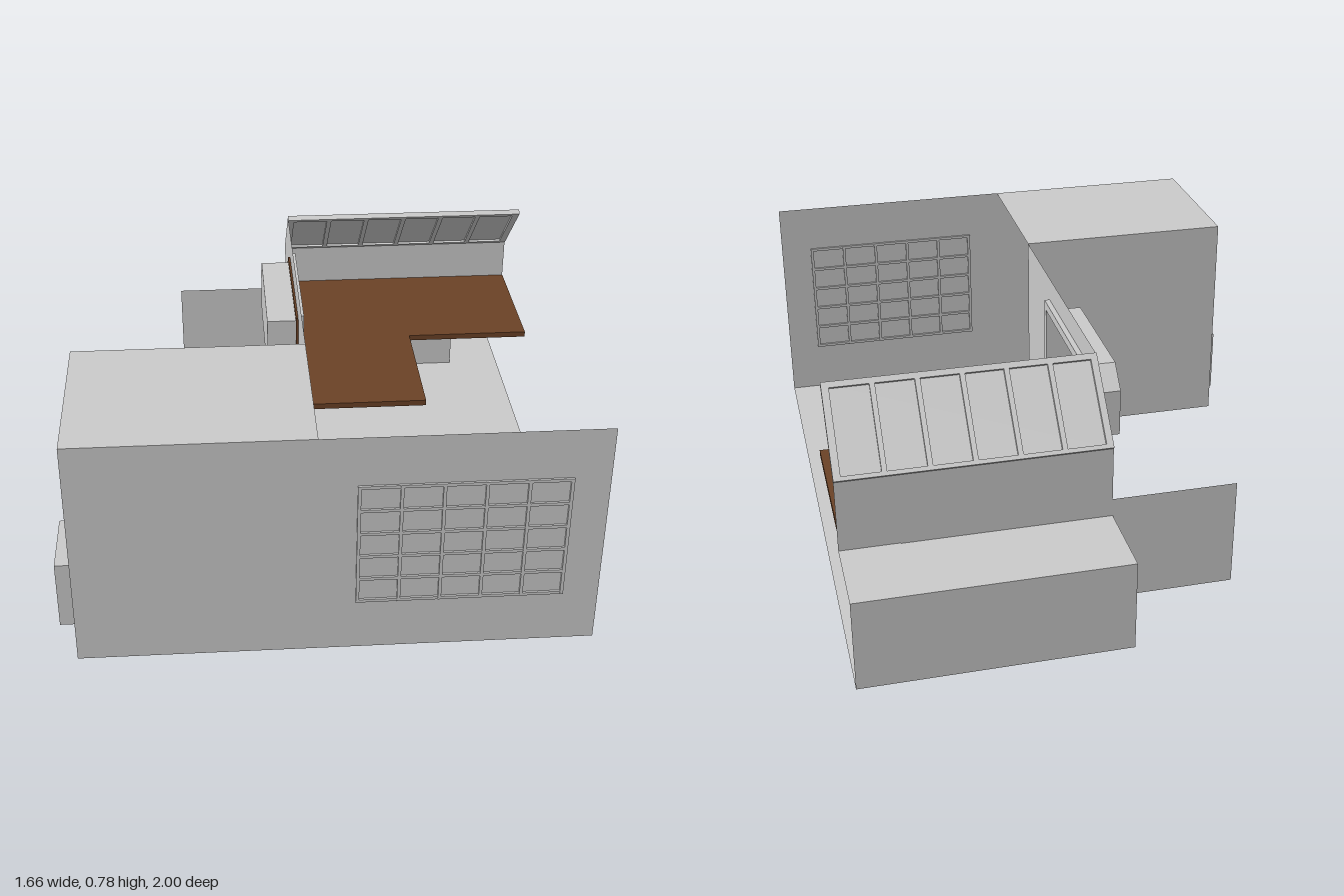
import * as THREE from 'three';

const grey = new THREE.MeshStandardMaterial({ color: 0xcccccc, side: THREE.DoubleSide, flatShading: true });
const wood = new THREE.MeshStandardMaterial({ color: 0x6b4226, side: THREE.DoubleSide, flatShading: true });

const toPath = (pts, P = THREE.Path) => new P(pts.map(([a, b]) => new THREE.Vector2(a, b)));
const rect = (a0, a1, b0, b1) => [[a0, b0], [a1, b0], [a1, b1], [a0, b1]];

export function createModel() {
  const model = new THREE.Group();

  // A flat sheet (depth 0) or slab, drawn in the plane facing the given axis:
  // 'x' uses (z, y) and grows to -x, 'y' uses (x, z) and grows down, 'z' uses (x, y) and grows to +z.
  function sheet(name, axis, at, pts, { holes = [], depth = 0, material = grey, parent = model } = {}) {
    const shape = toPath(pts, THREE.Shape);
    holes.forEach((h) => shape.holes.push(toPath(h)));
    const geo = depth
      ? new THREE.ExtrudeGeometry(shape, { depth, bevelEnabled: false })
      : new THREE.ShapeGeometry(shape);
    if (axis === 'x') geo.rotateY(-Math.PI / 2);
    if (axis === 'y') geo.rotateX(Math.PI / 2);
    const mesh = new THREE.Mesh(geo, material);
    mesh.name = name;
    mesh.position[axis] = at;
    parent.add(mesh);
    return mesh;
  }

  function box(name, x0, x1, y0, y1, z0, z1, parent = model) {
    const mesh = new THREE.Mesh(new THREE.BoxGeometry(x1 - x0, y1 - y0, z1 - z0), grey);
    mesh.position.set((x0 + x1) / 2, (y0 + y1) / 2, (z0 + z1) / 2);
    mesh.name = name;
    parent.add(mesh);
  }

  // A niche behind an opening in an x-facing wall: side strip plus closed back
  function niche(name, pts, xOpen, xBack) {
    const group = new THREE.Group();
    group.name = name;
    const pos = [];
    pts.forEach(([z, y], i) => {
      const [z2, y2] = pts[(i + 1) % pts.length];
      pos.push(xOpen, y, z, xBack, y, z, xBack, y2, z2, xOpen, y, z, xBack, y2, z2, xOpen, y2, z2);
    });
    const geo = new THREE.BufferGeometry();
    geo.setAttribute('position', new THREE.Float32BufferAttribute(pos, 3));
    geo.computeVertexNormals();
    const sides = new THREE.Mesh(geo, grey);
    sides.name = name + 'Sides';
    group.add(sides);
    sheet(name + 'Back', 'x', xBack, pts, { parent: group });
    model.add(group);
  }

  const L = -0.765, M = -0.03, R = 0.83; // outer wall, inner wall, open side
  const F = 0.992, B = -0.72, H = 0.77;

  // Floor in an L plan
  sheet('floor', 'y', 0.003, [[M, -1], [R, -1], [R, F], [L, F], [L, 0.44], [M, 0.44]]);

  // Side room, open towards the main room
  const smallNiche = rect(0.6, 0.835, 0.008, 0.24);
  sheet('frontWall', 'z', F, rect(L, R, 0.003, H));
  sheet('sideRoomRoof', 'y', H, rect(L, M, 0.44, F));
  sheet('sideRoomBackWall', 'z', 0.44, rect(L, M, 0.003, H));
  sheet('sideRoomOuterWall', 'x', L, rect(0.44, F, 0.003, H), { holes: [smallNiche] });
  niche('wallNiche', smallNiche, L, -0.83);

  // Window outline with one clipped top corner, as (z, y)
  const clipped = (z0, z1, y0, y1, c) => [[z0, y0], [z1, y0], [z1, y1], [z0 + c, y1], [z0, y1 - c]];
  const inner = clipped(-0.43, 0.085, 0.43, 0.66, 0.07);
  const rim = clipped(-0.45, 0.1, 0.415, 0.677, 0.082);
  const outer = clipped(-0.46, 0.11, 0.402, 0.69, 0.09);

  // Long wall with the bay window
  sheet('longWall', 'x', M, [[B, 0.003], [0.44, 0.003], [0.44, H], [-0.5, H], [B, 0.55]], { holes: [inner] });
  sheet('bayWindowFrame', 'x', -0.012, outer, { holes: [inner], depth: 0.018 });
  sheet('bayWindowWoodRim', 'x', M - 0.001, rim, { holes: [inner], depth: 0.007, material: wood });
  niche('bayWindow', inner, M, -0.135);

  // Back wall above the low alcove, which opens to the room and to the side
  sheet('backWall', 'z', B, rect(M, R, 0.31, 0.55));
  sheet('alcoveRoof', 'y', 0.31, rect(M, R, -1, B));
  sheet('alcoveBackWall', 'z', -1, rect(M, R, 0.003, 0.31));
  sheet('alcoveEndWall', 'x', M, rect(-1, B, 0.003, 0.31));
  sheet('dividerPanel', 'z', B - 0.003, rect(-0.44, 0.64, 0, 0.37));

  // L-shaped worktop
  sheet('worktop', 'y', 0.4,
    [[M + 0.004, B + 0.003], [R, B + 0.003], [R, -0.25], [0.4, -0.25], [0.4, 0.205], [M + 0.004, 0.205]],
    { depth: 0.02, material: wood });

  // Sloped window of six panes
  const skylight = new THREE.Group();
  skylight.name = 'slopedWindow';
  skylight.position.set(0, 0.55, B);
  skylight.rotation.x = Math.PI / 4;
  const slope = 0.311, pitch = 0.1385;
  const panes = Array.from({ length: 6 }, (_, i) => {
    const x0 = -0.008 + i * pitch;
    return rect(x0, x0 + 0.122, 0.014, slope - 0.02);
  });
  sheet('slopedFrame', 'z', -0.01, rect(M, R, 0, slope), { holes: panes, depth: 0.018, parent: skylight });
  sheet('slopedGlass', 'z', 0, rect(M, R, 0, slope), { parent: skylight });
  model.add(skylight);

  // Front window grille, standing out on both faces of the wall
  const grille = new THREE.Group();
  grille.name = 'frontWindowGrille';
  const x0 = 0.085, x1 = 0.72, y0 = 0.18, y1 = 0.605, t = 0.01;
  for (let i = 0; i <= 5; i++) {
    const x = x0 + (i / 5) * (x1 - x0 - t), y = y0 + (i / 5) * (y1 - y0 - t);
    box('uprightBar', x, x + t, y0, y1, 0.984, 1, grille);
    box('crossBar', x0, x1, y, y + t, 0.985, 0.999, grille);
  }
  model.add(grille);

  return model;
}
